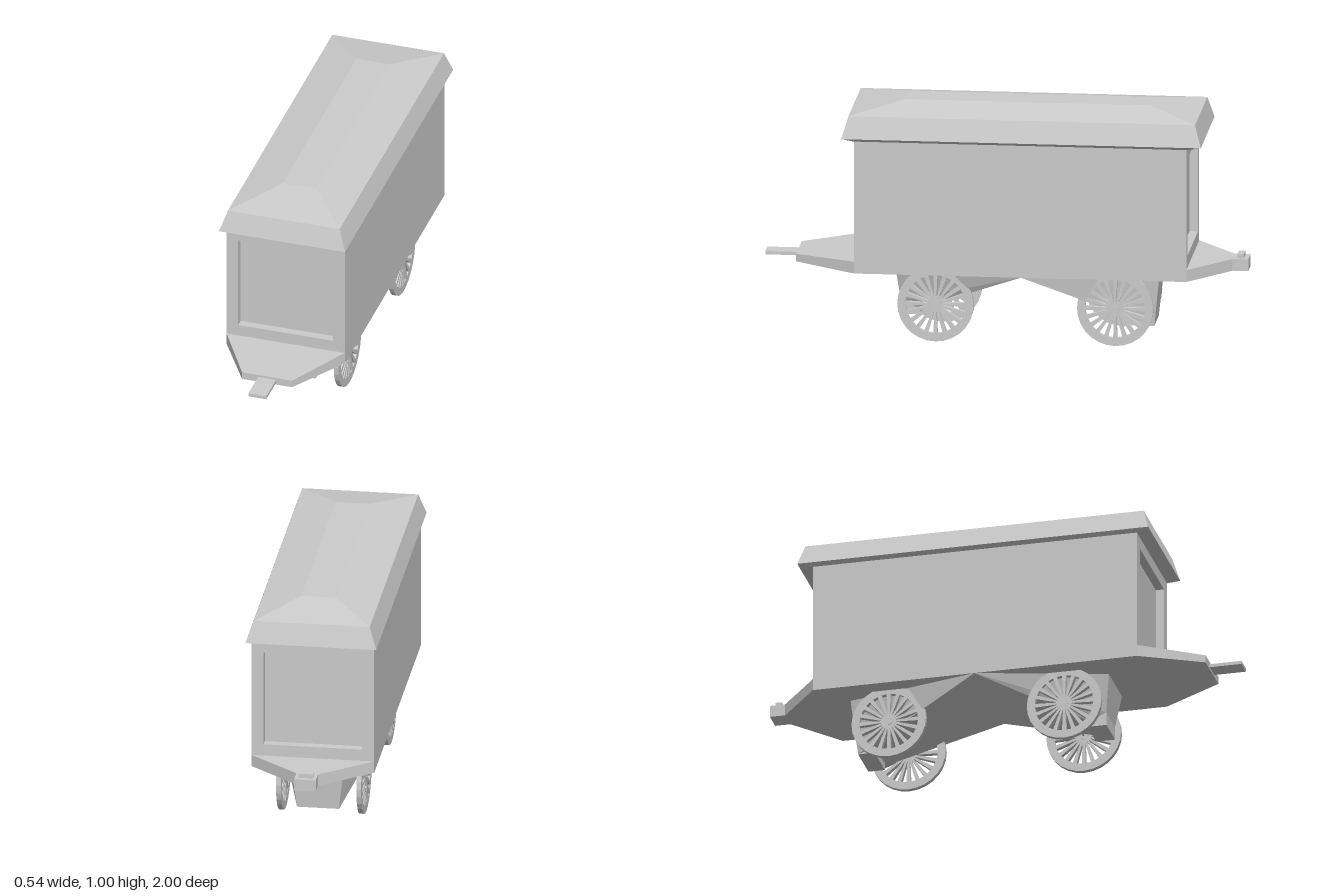
import * as THREE from 'three';
import { ConvexGeometry } from 'three/addons/geometries/ConvexGeometry.js';

const material = new THREE.MeshStandardMaterial({ color: 0xcccccc, flatShading: true });

function add(group, name, geometry, x = 0, y = 0, z = 0) {
  const mesh = new THREE.Mesh(geometry, material);
  mesh.name = name;
  mesh.position.set(x, y, z);
  group.add(mesh);
  return mesh;
}

// Box given by its half width and its y and z limits
function addBox(group, name, hw, y0, y1, z0, z1) {
  return add(group, name, new THREE.BoxGeometry(2 * hw, y1 - y0, z1 - z0), 0, (y0 + y1) / 2, (z0 + z1) / 2);
}

// Convex solid from points [half width, y, z] mirrored across x
function hull(points) {
  const v = [];
  for (const [x, y, z] of points) v.push(new THREE.Vector3(x, y, z), new THREE.Vector3(-x, y, z));
  return new ConvexGeometry(v);
}

// End wall with a rectangular opening
function endFrame(depth) {
  const shape = new THREE.Shape();
  shape.moveTo(-0.255, 0.3).lineTo(0.255, 0.3).lineTo(0.255, 0.865).lineTo(-0.255, 0.865).closePath();
  const hole = new THREE.Path();
  hole.moveTo(-0.205, 0.4).lineTo(-0.205, 0.81).lineTo(0.205, 0.81).lineTo(0.205, 0.4).closePath();
  shape.holes.push(hole);
  return new THREE.ExtrudeGeometry(shape, { depth, bevelEnabled: false });
}

// Spoked wheel, cut from a disc and turned to face x
function wheelGeometry(radius, width, spokes) {
  const shape = new THREE.Shape();
  shape.absarc(0, 0, radius, 0, Math.PI * 2);
  const inner = 0.032, outer = 0.124, half = 0.0085;
  for (let i = 0; i < spokes; i++) {
    const a0 = (i / spokes) * Math.PI * 2, a1 = ((i + 1) / spokes) * Math.PI * 2;
    const at = (r, side) => {
      const offset = Math.min(Math.asin(half / r), (a1 - a0) * 0.44);
      const a = side ? a1 - offset : a0 + offset;
      return new THREE.Vector2(r * Math.cos(a), r * Math.sin(a));
    };
    shape.holes.push(new THREE.Path([at(inner, 0), at(inner, 1), at(outer, 1), at(outer, 0)]));
  }
  const geometry = new THREE.ExtrudeGeometry(shape, { depth: width, bevelEnabled: false, curveSegments: 14 });
  return geometry.translate(0, 0, -width / 2).rotateY(Math.PI / 2);
}

export function createModel() {
  const model = new THREE.Group();
  model.name = 'wagon';
  const front = 0.61, back = -0.765, recess = 0.035;

  // Body with recessed end panels
  addBox(model, 'body', 0.255, 0.3, 0.865, back + recess, front - recess);
  add(model, 'frontFrame', endFrame(recess), 0, 0, front - recess);
  add(model, 'backFrame', endFrame(recess), 0, 0, back);

  // Hipped roof with flared eaves: half width, height, back z, front z
  const roofLevels = [
    [0.255, 0.86, back, front],
    [0.272, 0.873, -0.827, 0.662],
    [0.241, 0.963, -0.8, 0.635],
    [0.072, 1.0, -0.595, 0.42],
  ];
  add(model, 'roof', hull(roofLevels.flatMap(([x, y, z0, z1]) => [[x, y, z0], [x, y, z1]])));

  // Front platform and tongue
  add(model, 'frontPlatform', hull([
    [0.255, 0.3, front], [0.255, 0.35, front],
    [0.108, 0.308, 0.865], [0.108, 0.34, 0.865],
  ]));
  addBox(model, 'tongue', 0.039, 0.317, 0.331, 0.84, 1);

  // Back platform, coupling block and peg
  add(model, 'backPlatform', hull([
    [0.255, 0.3, back], [0.255, 0.35, back],
    [0.045, 0.3, -0.935], [0.045, 0.35, -0.935],
  ]));
  addBox(model, 'coupling', 0.045, 0.3, 0.35, -1, -0.93);
  addBox(model, 'couplingPeg', 0.03, 0.345, 0.368, -0.98, -0.953);

  // Tapering undercarriages that end in a small box
  add(model, 'frontUndercarriage', hull([
    [0.255, 0.3, -0.08], [0.112, 0.3, 0.455],
    [0.074, 0.115, 0.36], [0.074, 0.145, 0.435],
  ]));
  addBox(model, 'frontUndercarriageBox', 0.074, 0.088, 0.15, 0.355, 0.435);
  add(model, 'backUndercarriage', hull([
    [0.255, 0.3, -0.08], [0.115, 0.3, -0.64],
    [0.087, 0.11, -0.55], [0.087, 0.067, -0.615],
  ]));
  addBox(model, 'backUndercarriageBox', 0.087, 0.067, 0.12, -0.615, -0.545);

  // Wheels and axles
  const wheel = wheelGeometry(0.158, 0.02, 20);
  const hub = new THREE.CylinderGeometry(0.016, 0.016, 0.024, 12).rotateZ(Math.PI / 2);
  const axle = new THREE.CylinderGeometry(0.004, 0.004, 0.33, 8).rotateZ(Math.PI / 2);
  for (const [end, z] of [['front', 0.282], ['back', -0.462]]) {
    add(model, end + 'Axle', axle, 0, 0.16, z);
    for (const [side, x] of [['Left', 0.164], ['Right', -0.17]]) {
      add(model, end + side + 'Wheel', wheel, x, 0.158, z);
      add(model, end + side + 'Hub', hub, x, 0.158, z);
    }
  }
  return model;
}
